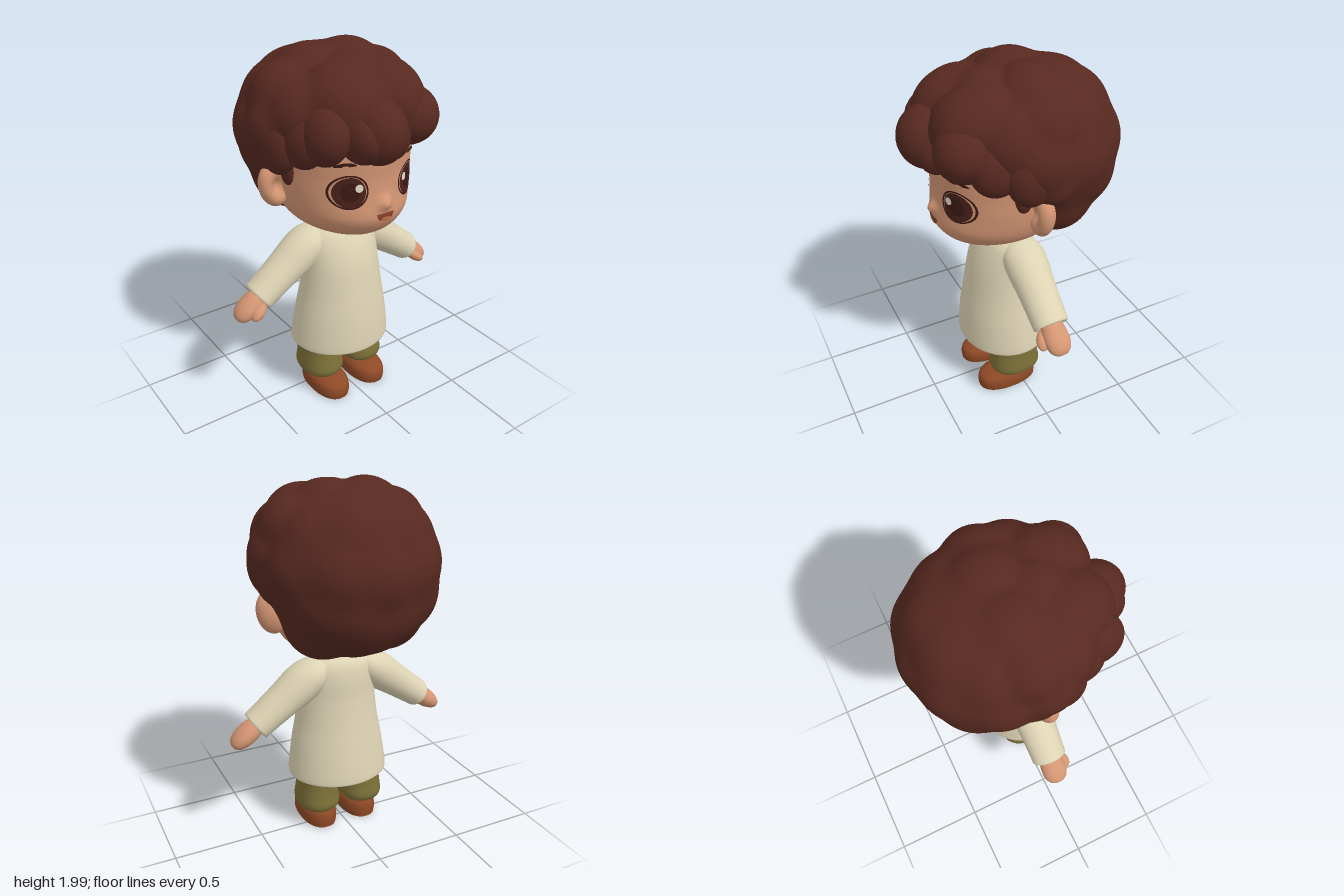
import * as THREE from 'three';
import { mergeVertices } from 'three/addons/utils/BufferGeometryUtils.js';

const mat = (name, color, side = THREE.FrontSide) => {
  const m = new THREE.MeshStandardMaterial({ color, side });
  m.name = name;
  return m;
};

// Smooth in-between rows for a table of cross-sections
function densify(rows, n) {
  const out = [], at = i => rows[Math.min(rows.length - 1, Math.max(0, i))];
  for (let i = 0; i < rows.length - 1; i++) {
    for (let k = 0; k < n; k++) {
      const t = k / n;
      out.push(rows[i].map((b, c) => {
        const a = at(i - 1)[c], d = at(i + 1)[c], e = at(i + 2)[c];
        return b + 0.5 * t * (d - a + t * (2 * a - 5 * b + 4 * d - e + t * (3 * (b - d) + e - a)));
      }));
    }
  }
  out.push(rows[rows.length - 1]);
  return out;
}

// Skin over rings [y, radiusX, radiusZ, centreZ]; power > 2 makes them squarer
function loft(rings, power = 2, seg = 48) {
  const pos = [], idx = [], bend = v => Math.sign(v) * Math.pow(Math.abs(v), 2 / power);
  for (const [y, rx, rz, cz] of rings) {
    for (let j = 0; j < seg; j++) {
      const a = j / seg * Math.PI * 2;
      pos.push(rx * bend(Math.cos(a)), y, cz + rz * bend(Math.sin(a)));
    }
  }
  for (let i = 0; i < rings.length - 1; i++) {
    for (let j = 0; j < seg; j++) {
      const a = i * seg + j, b = i * seg + (j + 1) % seg;
      idx.push(a, a + seg, b, b, a + seg, b + seg);
    }
  }
  const g = new THREE.BufferGeometry();
  g.setAttribute('position', new THREE.Float32BufferAttribute(pos, 3));
  g.setIndex(idx);
  g.computeVertexNormals();
  return g;
}

// Move every vertex by a rule, then smooth again
function reshape(g, rule) {
  const p = g.attributes.position, v = new THREE.Vector3();
  for (let i = 0; i < p.count; i++) {
    rule(v.fromBufferAttribute(p, i));
    p.setXYZ(i, v.x, v.y, v.z);
  }
  g.computeVertexNormals();
  return g;
}

// Unit sphere without a seam
function seamlessSphere(w, h) {
  const g = new THREE.SphereGeometry(1, w, h);
  g.deleteAttribute('uv');
  g.deleteAttribute('normal');
  return mergeVertices(g, 1e-5);
}

export function createModel() {
  const model = new THREE.Group();
  model.name = 'child';
  const skin = mat('skin', 0xd49674), hair = mat('hair', 0x572920);
  const cloth = mat('tunic cloth', 0xddd3b4, THREE.DoubleSide);
  const olive = mat('trouser cloth', 0x7b7038), leather = mat('shoe leather', 0x8e4926);
  const dark = mat('lash brown', 0x3c1914), iris = mat('iris brown', 0x4a221b);
  const shine = mat('eye shine', 0xeadfcd), lip = mat('mouth brown', 0x8a4029), tongue = mat('tongue', 0xc4744f);

  const add = (name, geo, material, x = 0, y = 0, z = 0, parent = model) => {
    const m = new THREE.Mesh(geo, material);
    m.name = name;
    m.position.set(x, y, z);
    parent.add(m);
    return m;
  };
  const blob = (name, material, [x, y, z, rx, ry, rz, tilt = 0], parent = model) => {
    const m = add(name, new THREE.SphereGeometry(1, 32, 24), material, x, y, z, parent);
    m.scale.set(rx, ry, rz);
    m.rotation.z = tilt;
    return m;
  };

  // Head with a small soft nose, and neck
  const headRings = densify([
    [1.052, 0.001, 0.001, 0.15], [1.058, 0.12, 0.14, 0.14], [1.085, 0.215, 0.26, 0.085],
    [1.13, 0.283, 0.335, 0.06], [1.2, 0.326, 0.38, 0.048], [1.3, 0.348, 0.378, 0.04],
    [1.4, 0.354, 0.374, 0.04], [1.55, 0.355, 0.378, 0.04], [1.7, 0.32, 0.33, 0.03], [1.85, 0.15, 0.15, 0],
  ], 8);
  add('head', reshape(loft(headRings, 2, 144), v => {
    if (v.z > 0) v.z += 0.036 * Math.exp(-((v.x / 0.034) ** 2) - ((v.y - 1.275) / 0.032) ** 2);
  }), skin);
  add('neck', new THREE.CylinderGeometry(0.072, 0.08, 0.2, 32), skin, 0, 1.03, 0.03);

  // Thin face details that follow the curve of the face
  const faceZ = (x, y) => {
    const i = Math.max(1, headRings.findIndex(r => r[0] >= y));
    const a = headRings[i - 1], b = headRings[i], t = (y - a[0]) / (b[0] - a[0]);
    const [, rx, rz, cz] = a.map((v, c) => v + (b[c] - v) * t);
    return cz + rz * Math.sqrt(Math.max(0, 1 - (x / rx) ** 2));
  };
  const facePatch = (name, material, cx, cy, rx, ry, lift, inner = 0, start = 0, sweep = Math.PI * 2, tilt = 0) => {
    const g = new THREE.RingGeometry(inner, 1, 40, 8, start, sweep);
    g.scale(rx, ry, 1);
    g.rotateZ(tilt);
    reshape(g, v => {
      v.x += cx;
      v.y += cy;
      v.z = faceZ(v.x, v.y) + lift;
    });
    add(name, g, material);
  };
  for (const s of [-1, 1]) {
    facePatch('eyeRim', dark, s * 0.178, 1.355, 0.087, 0.09, 0.004, 0.9);
    facePatch('iris', iris, s * 0.176, 1.353, 0.071, 0.08, 0.005);
    facePatch('pupil', dark, s * 0.174, 1.355, 0.043, 0.05, 0.007);
    facePatch('eyeShine', shine, s * 0.137, 1.376, 0.018, 0.021, 0.009);
    facePatch('eyebrow', dark, s * 0.198, 1.488, 0.047, 0.022, 0.007, 0.3, 0.1, Math.PI - 0.2, -s * 0.1);
  }
  facePatch('mouth', lip, 0, 1.226, 0.052, 0.046, 0.005, 0, Math.PI, Math.PI);
  facePatch('tongue', tongue, 0, 1.195, 0.03, 0.012, 0.008);

  // Ears, hollowed towards the front
  for (const s of [-1, 1]) {
    const ear = add('ear', reshape(seamlessSphere(40, 30), v => {
      const dent = v.z > 0 ? 0.055 * Math.exp(-((v.x * s + 0.05) ** 2 + v.y ** 2) * 5) : 0;
      v.set(v.x * 0.088, v.y * 0.122, v.z * 0.062 - dent);
    }), skin, s * 0.382, 1.325, 0.008);
    ear.rotation.z = -s * 0.2;
  }

  // Main hair: an egg-shaped core with softly blended round lobes [centre, radius]
  const core = new THREE.Vector3(0, 1.54, -0.14), lobes = [];
  const coreRadius = d => 1 / Math.hypot(d.x / 0.46, d.y / (d.y > 0 ? 0.432 : 0.45), d.z / (d.z > 0 ? 0.34 : 0.42));
  const addLobe = (c, r) => {
    lobes.push([c, r]);
    if (c.x) lobes.push([c.clone().setX(-c.x), r]);
  };
  const V = (x, y, z) => new THREE.Vector3(x, y, z);
  // shallow lobes over the back and sides, given by direction
  for (const d of [V(0, 0.1, -1), V(0.62, 0.15, -0.78), V(0.32, 0.7, -0.62), V(0.3, -0.62, -0.72), V(0.78, 0.58, -0.2),
    V(0.7, -0.4, -0.5), V(0, -0.75, -0.65), V(0.95, 0.1, -0.15)]) {
    d.normalize();
    addLobe(d.clone().multiplyScalar(coreRadius(d) + 0.024 - 0.23), 0.23);
  }
  // crown, front, temple and nape lobes, given by position
  for (const [x, y, z, r] of [[0.11, 1.775, -0.06, 0.225], [0, 1.775, 0.12, 0.2], [0.13, 1.745, 0.2, 0.205],
    [0.12, 1.725, 0.26, 0.2], [0.24, 1.69, 0.1, 0.21], [0.265, 1.74, -0.04, 0.195], [0.31, 1.615, 0, 0.198],
    [0.345, 1.5, -0.04, 0.14], [0.18, 1.305, -0.17, 0.212], [0, 1.3, -0.17, 0.22]]) {
    addLobe(V(x, y, z).sub(core), r);
  }
  add('hairMass', reshape(seamlessSphere(150, 100), d => {
    const k = 0.012, hits = [coreRadius(d)];
    for (const [c, r] of lobes) {
      const along = d.dot(c), disc = along * along - c.lengthSq() + r * r;
      if (disc > 0) hits.push(along + Math.sqrt(disc));
    }
    const top = Math.max(...hits);
    const soft = top + k * Math.log(hits.reduce((sum, h) => sum + Math.exp((h - top) / k), 0));
    d.multiplyScalar(soft - k * 0.6).add(core);
  }), hair);

  // Fringe and side tufts [x, y, z, radii, tilt]
  const tufts = [
    [-0.05, 1.65, 0.405, 0.145, 0.165, 0.16, 0.2], [-0.13, 1.63, 0.39, 0.1, 0.13, 0.14, 0.1],
    [0.05, 1.6, 0.39, 0.08, 0.115, 0.11, -0.1], [-0.27, 1.645, 0.3, 0.11, 0.15, 0.145, -0.15],
    [0.21, 1.665, 0.32, 0.15, 0.15, 0.16, 0.1], [0.3, 1.61, 0.21, 0.11, 0.155, 0.14, 0.15],
    [-0.31, 1.61, 0.19, 0.11, 0.155, 0.14, -0.15],
  ];
  for (const t of tufts) blob('hairTuft', hair, t);
  for (const s of [-1, 1]) {
    blob('sideHair', hair, [s * 0.385, 1.57, 0.07, 0.095, 0.165, 0.13, s * 0.05]);
    blob('sideburn', hair, [s * 0.348, 1.435, 0.085, 0.035, 0.095, 0.05]);
  }

  // Tunic with a turned hem
  add('tunic', loft(densify([
    [0.6, 0.22, 0.195, 0.048], [0.37, 0.266, 0.234, 0.04], [0.328, 0.272, 0.238, 0.038], [0.32, 0.281, 0.248, 0.038],
    [0.335, 0.29, 0.257, 0.038], [0.5, 0.268, 0.237, 0.045], [0.65, 0.241, 0.211, 0.048], [0.8, 0.224, 0.187, 0.045],
    [0.9, 0.22, 0.168, 0.033], [0.97, 0.212, 0.145, 0.022], [1.01, 0.18, 0.122, 0.018],
    [1.035, 0.125, 0.095, 0.02], [1.038, 0.1, 0.086, 0.025], [1.01, 0.082, 0.078, 0.03],
  ], 5)), cloth);

  // Arms: sleeve with turned cuff, hand and thumb
  const sleeve = loft(densify([
    [-0.04, 0.06, 0.08, 0], [0.03, 0.092, 0.115, 0], [0.12, 0.106, 0.118, 0], [0.25, 0.095, 0.107, 0],
    [0.41, 0.084, 0.1, 0], [0.447, 0.082, 0.099, 0], [0.457, 0.074, 0.09, 0], [0.44, 0.066, 0.08, 0], [0.3, 0.06, 0.075, 0],
  ], 4), 2, 36);
  const hand = loft(densify([
    [0.34, 0.045, 0.055, 0], [0.43, 0.046, 0.057, 0], [0.49, 0.055, 0.069, 0], [0.55, 0.052, 0.071, 0],
    [0.595, 0.038, 0.056, 0], [0.617, 0.018, 0.03, 0], [0.622, 0.001, 0.001, 0],
  ], 4), 2, 28);
  for (const s of [-1, 1]) {
    const arm = new THREE.Group();
    arm.name = s > 0 ? 'leftArm' : 'rightArm';
    arm.position.set(s * 0.14, 0.967, 0);
    arm.rotation.z = -s * 2.2;
    add('sleeve', sleeve, cloth, 0, 0, 0, arm);
    add('hand', hand, skin, 0, 0, 0, arm);
    const thumb = blob('thumb', skin, [s * 0.022, 0.51, 0.063, 0.03, 0.06, 0.038], arm);
    thumb.rotation.x = 0.4;
    model.add(arm);
  }

  // Trouser legs and shoes
  const leg = loft(densify([
    [0.125, 0.001, 0.001, 0.03], [0.11, 0.09, 0.11, 0.03], [0.118, 0.113, 0.138, 0.03], [0.15, 0.123, 0.149, 0.03],
    [0.2, 0.119, 0.14, 0.03], [0.27, 0.111, 0.13, 0.028], [0.34, 0.113, 0.127, 0.028], [0.6, 0.1, 0.12, 0.03],
  ], 4), 2.3, 36);
  const shoe = loft(densify([
    [0, 0.001, 0.001, 0.075], [0, 0.085, 0.16, 0.075], [0.008, 0.1, 0.175, 0.077], [0.04, 0.104, 0.178, 0.077],
    [0.072, 0.1, 0.172, 0.074], [0.094, 0.086, 0.15, 0.062], [0.108, 0.062, 0.112, 0.04], [0.116, 0.001, 0.001, 0.01],
  ], 4), 2.3, 40);
  for (const s of [-1, 1]) {
    add('trouserLeg', leg, olive, s * 0.137, 0, 0);
    add('shoe', shoe, leather, s * 0.128, 0, 0);
  }
  return model;
}
